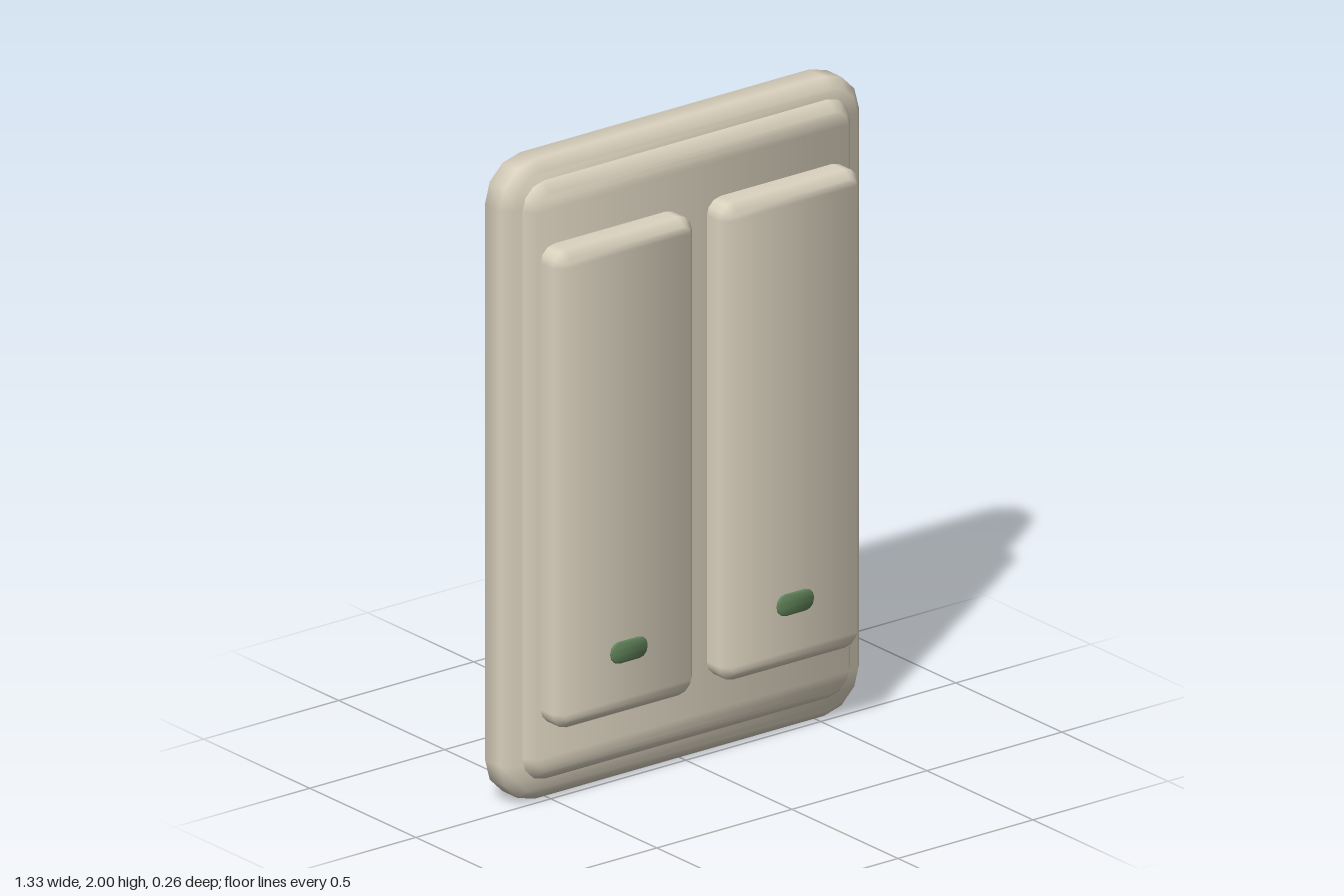
import * as THREE from 'three';

// Rounded-rectangle slab skinned over rings [inset, z, tilt], listed back to front.
// tilt is the normal's lean toward +z in degrees, so the bevels blend softly.
function slab(w, h, radius, segments, rings) {
  const pos = [], nor = [], idx = [];
  const corners = [[1, -1, -90], [1, 1, 0], [-1, 1, 90], [-1, -1, 180]];
  const n = corners.length * (segments + 1);
  for (const [inset, z, tilt] of rings) {
    const t = THREE.MathUtils.degToRad(tilt);
    const r = Math.max(radius - inset, 0.003);
    for (const [sx, sy, start] of corners) {
      for (let s = 0; s <= segments; s++) {
        const a = THREE.MathUtils.degToRad(start + (90 * s) / segments);
        pos.push(
          sx * (w / 2 - inset - r) + r * Math.cos(a),
          sy * (h / 2 - inset - r) + r * Math.sin(a),
          z
        );
        nor.push(Math.cos(a) * Math.cos(t), Math.sin(a) * Math.cos(t), Math.sin(t));
      }
    }
  }
  // walls
  for (let k = 0; k < rings.length - 1; k++) {
    for (let i = 0; i < n; i++) {
      const a = k * n + i, b = k * n + ((i + 1) % n);
      idx.push(a, b, b + n, a, b + n, a + n);
    }
  }
  // caps, as strips running from the bottom edge to the top edge
  const f = (rings.length - 1) * n;
  for (let i = 0; i < n / 2 - 1; i++) {
    const l = n - 1 - i;
    idx.push(f + i, f + i + 1, f + l - 1, f + i, f + l - 1, f + l);
    idx.push(i, l - 1, i + 1, i, l, l - 1);
  }
  const geo = new THREE.BufferGeometry();
  geo.setAttribute('position', new THREE.Float32BufferAttribute(pos, 3));
  geo.setAttribute('normal', new THREE.Float32BufferAttribute(nor, 3));
  geo.setIndex(idx);
  return geo;
}

export function createModel() {
  const model = new THREE.Group();
  model.name = 'wallSwitch';
  const ivory = new THREE.MeshStandardMaterial({ color: 0xd8cfbc });
  ivory.name = 'ivory plastic';
  const green = new THREE.MeshStandardMaterial({ color: 0x5f8058 });
  green.name = 'green indicator';

  const add = (name, geo, material, x, y) => {
    const mesh = new THREE.Mesh(geo, material);
    mesh.name = name;
    mesh.position.set(x, y, 0);
    model.add(mesh);
  };

  // wall plate with bevels front and back
  add('backPlate', slab(1.33, 2, 0.13, 3, [
    [0.03, -0.13, -67], [0, -0.1, -22], [0, -0.03, 22], [0.03, 0, 67],
  ]), ivory, 0, 1);

  // raised panel, bevelled to the front
  add('raisedPanel', slab(1.21, 1.87, 0.08, 3, [
    [0, -0.02, 0], [0, 0.003, 22], [0.03, 0.035, 67],
  ]), ivory, 0, 1.005);

  // two rockers, each with an indicator
  const rocker = slab(0.515, 1.495, 0.05, 3, [
    [0, 0.02, 0], [0, 0.093, 22], [0.025, 0.118, 67],
  ]);
  const indicator = slab(0.134, 0.066, 0.03, 3, [
    [0, 0.121, 0], [0, 0.127, 22], [0.003, 0.13, 67],
  ]);
  for (const [side, x] of [['right', -0.308], ['left', 0.308]]) {
    add(side + 'Rocker', rocker, ivory, x, 1.0035);
    add(side + 'Indicator', indicator, green, x, 0.457);
  }
  return model;
}
